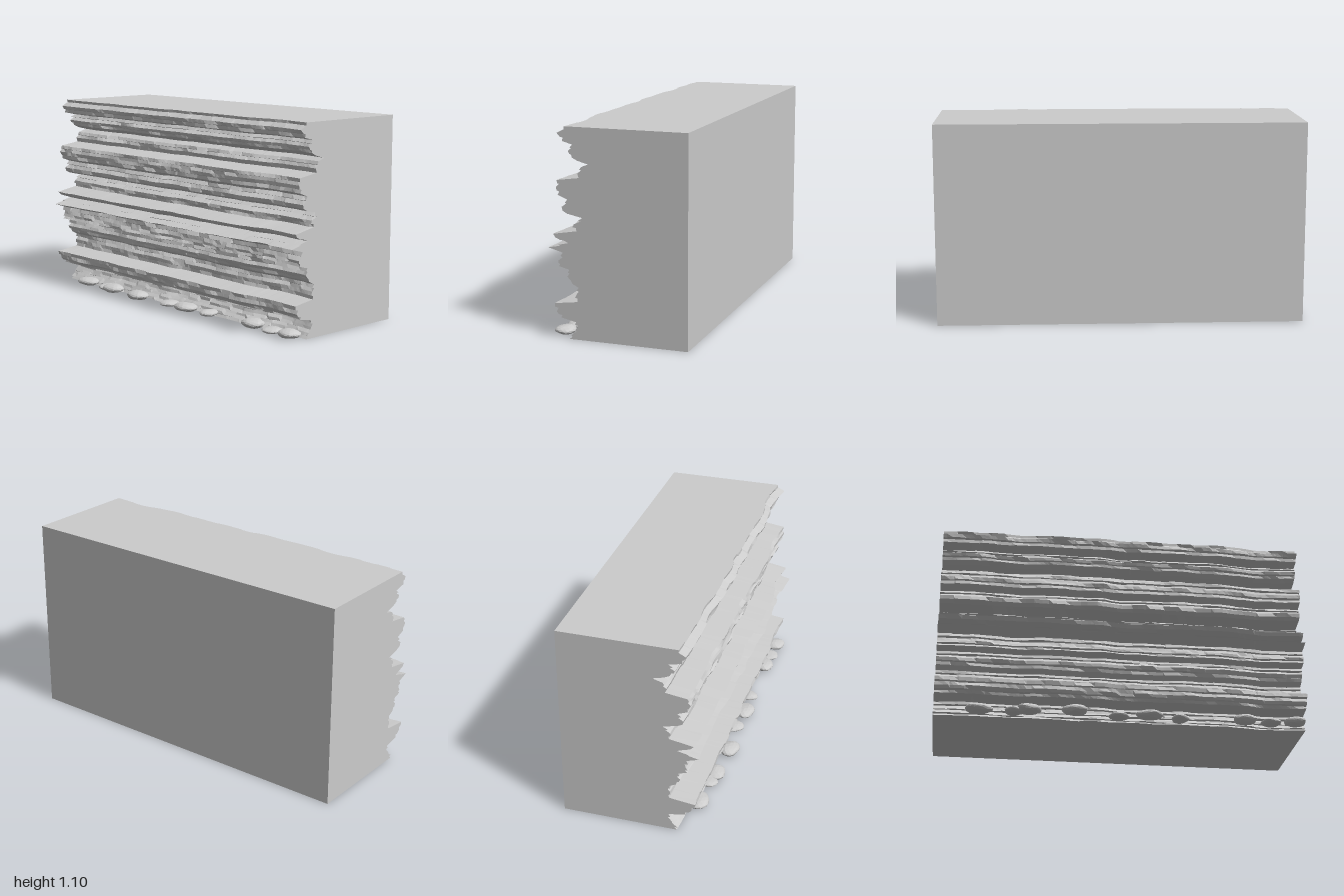
import * as THREE from 'three';

// strata silhouette, top to bottom: [y, z]
const PROFILE = [
  [1.1, .285], [1.085, .28], [1.065, .315], [1.025, .30], [1.01, .235], [.977, .26], [.945, .24], [.93, .205],
  [.915, .15], [.90, .20], [.866, .215], [.843, .205], [.826, .327], [.79, .33], [.75, .325], [.73, .275],
  [.69, .30], [.67, .295], [.657, .27], [.64, .19], [.605, .24], [.57, .233], [.547, .36], [.53, .345],
  [.505, .27], [.474, .375], [.453, .31], [.41, .32], [.38, .32], [.366, .27], [.33, .28], [.294, .255],
  [.276, .22], [.24, .23], [.20, .225], [.183, .355], [.14, .345], [.11, .31], [.093, .228], [.058, .233],
  [.03, .25], [0, .27],
];
const BACK = -0.385, TOP = 1.1, COLS = 90;

// repeatable hash in 0..1
function hash(a, b = 0) {
  const s = Math.sin(a * 127.1 + b * 311.7 + 4.2) * 43758.5453;
  return s - Math.floor(s);
}

// smooth noise along x, one sequence per seed
function noise(x, seed) {
  const i = Math.floor(x), f = x - i, t = f * f * (3 - 2 * f);
  return hash(i, seed) * (1 - t) + hash(i + 1, seed) * t;
}

// profile with extra rows so tall layers get small ledges
function makeRows() {
  const rows = [];
  PROFILE.forEach(([y, z], i) => {
    rows.push([y, z]);
    const next = PROFILE[i + 1];
    if (next && y - next[0] > 0.025) {
      rows.push([y * 0.55 + next[0] * 0.45, (z + next[1]) / 2 + 0.004]);
      rows.push([y * 0.45 + next[0] * 0.55, (z + next[1]) / 2 - 0.008]);
    }
  });
  return rows;
}

// depth change of a layer along the wall: shared waves, layer noise, chipped blocks
function erosion(x, row, col) {
  const layer = Math.floor(row / 3);
  const wave = noise(x * 9 + 40, 1) * 0.022;
  const drift = noise(x * 6 + 30, layer + 5) * 0.012;
  const chip = hash(Math.floor((col + layer * 2) / 4), row + 60) * 0.011;
  return wave + drift + chip - 0.042;
}

function flatGeometry(positions) {
  const g = new THREE.BufferGeometry();
  g.setAttribute('position', new THREE.Float32BufferAttribute(positions, 3));
  g.computeVertexNormals();
  return g;
}

export function createModel() {
  const group = new THREE.Group();
  const stone = new THREE.MeshStandardMaterial({ color: 0xcccccc });
  stone.name = 'grey stone';
  const add = (name, geometry) => {
    const mesh = new THREE.Mesh(geometry, stone);
    mesh.name = name;
    group.add(mesh);
    return mesh;
  };

  // cross-sections along x: eroded front edge, then the two back corners
  const rows = makeRows(), n = rows.length;
  const sections = [];
  for (let c = 0; c <= COLS; c++) {
    const inner = c > 0 && c < COLS;
    const x = -1 + 2 * (c + (inner ? (hash(c, 9) - 0.5) * 0.7 : 0)) / COLS;
    const section = rows.map(([y, z], r) => new THREE.Vector3(x, y, z + erosion(x, r, c)));
    section.push(new THREE.Vector3(x, 0, BACK), new THREE.Vector3(x, TOP, BACK));
    sections.push(section);
  }

  // skin between neighbouring sections
  const face = [], block = [];
  const put = (target, ...points) => points.forEach((p) => target.push(p.x, p.y, p.z));
  for (let c = 0; c < COLS; c++) {
    const s = sections[c], t = sections[c + 1];
    for (let i = 0; i < s.length; i++) {
      const j = (i + 1) % s.length;
      put(i < n - 1 ? face : block, s[i], s[j], t[j], s[i], t[j], t[i]);
    }
  }

  // flat end caps
  const addCap = (section, flip) => {
    const outline = section.map((p) => new THREE.Vector2(-p.z, p.y));
    for (const [a, b, c] of THREE.ShapeUtils.triangulateShape(outline, [])) {
      if (flip) put(block, section[a], section[c], section[b]);
      else put(block, section[a], section[b], section[c]);
    }
  };
  addCap(sections[COLS], false);
  addCap(sections[0], true);

  add('rockFace', flatGeometry(face));
  add('cliffBlock', flatGeometry(block));

  // flattened boulders along the foot: [x, width, height, z]
  const boulders = [
    [-.76, .16, .05, .29], [-.58, .10, .04, .29], [-.50, .15, .055, .31], [-.26, .15, .055, .325],
    [-.02, .12, .035, .29], [.14, .16, .05, .31], [.31, .10, .04, .29], [.66, .14, .055, .30],
    [.80, .12, .035, .30], [.93, .13, .05, .31],
  ];
  boulders.forEach(([x, w, h, z], k) => {
    const g = new THREE.IcosahedronGeometry(1, 2);
    const p = g.attributes.position;
    for (let i = 0; i < p.count; i++) {
      const vx = p.getX(i), vy = p.getY(i), vz = p.getZ(i);
      const bump = 0.93 + 0.07 * Math.sin(vx * 3 + k * 2) * Math.cos(vz * 4 + vy * 2 + k);
      p.setXYZ(i, vx * bump * w / 2, Math.max(vy, -0.85) * bump * h / 2, vz * bump * 0.06);
    }
    g.computeVertexNormals();
    add('boulder', g).position.set(x, h / 2 + 0.002, z);
  });

  return group;
}
